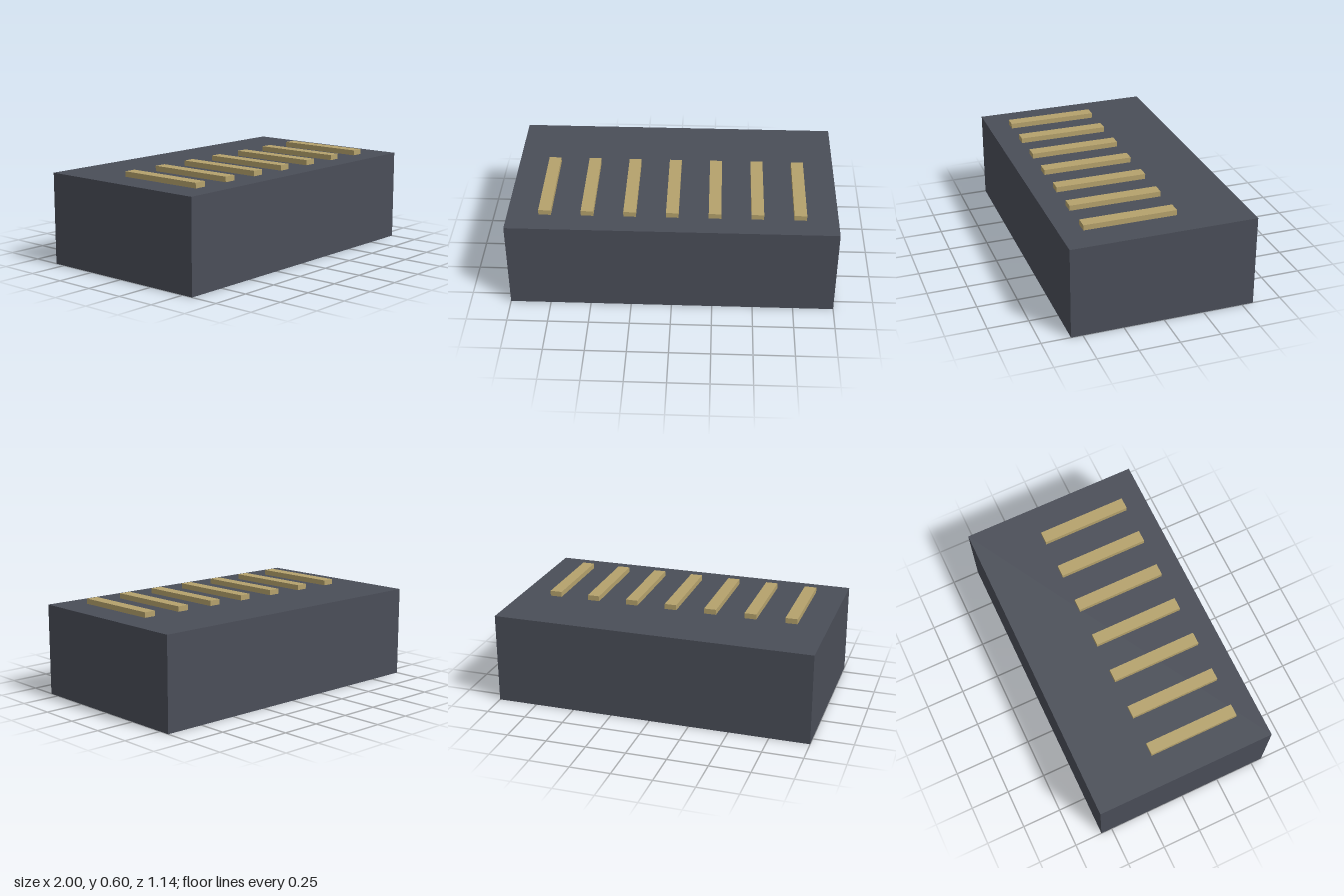
import * as THREE from 'three';

export function createModel() {
  const model = new THREE.Group();
  const slate = new THREE.MeshStandardMaterial({ color: 0x4a4e58 });
  slate.name = 'slate';
  const brass = new THREE.MeshStandardMaterial({ color: 0xb5a26c });
  brass.name = 'brass';

  function box(name, size, position, material) {
    const mesh = new THREE.Mesh(new THREE.BoxGeometry(...size), material);
    mesh.name = name;
    mesh.position.set(...position);
    model.add(mesh);
  }

  // Solid block standing on the ground
  const height = 0.571;
  box('body', [2, height, 1.143], [0, height / 2, 0], slate);

  // Row of seven raised bars, set towards the front of the top
  const barHeight = 0.033;
  for (let i = -3; i <= 3; i++) {
    box(`bar${i + 4}`, [0.076, barHeight, 0.571], [i * 0.257, height + barHeight / 2, 0.143], brass);
  }

  return model;
}
